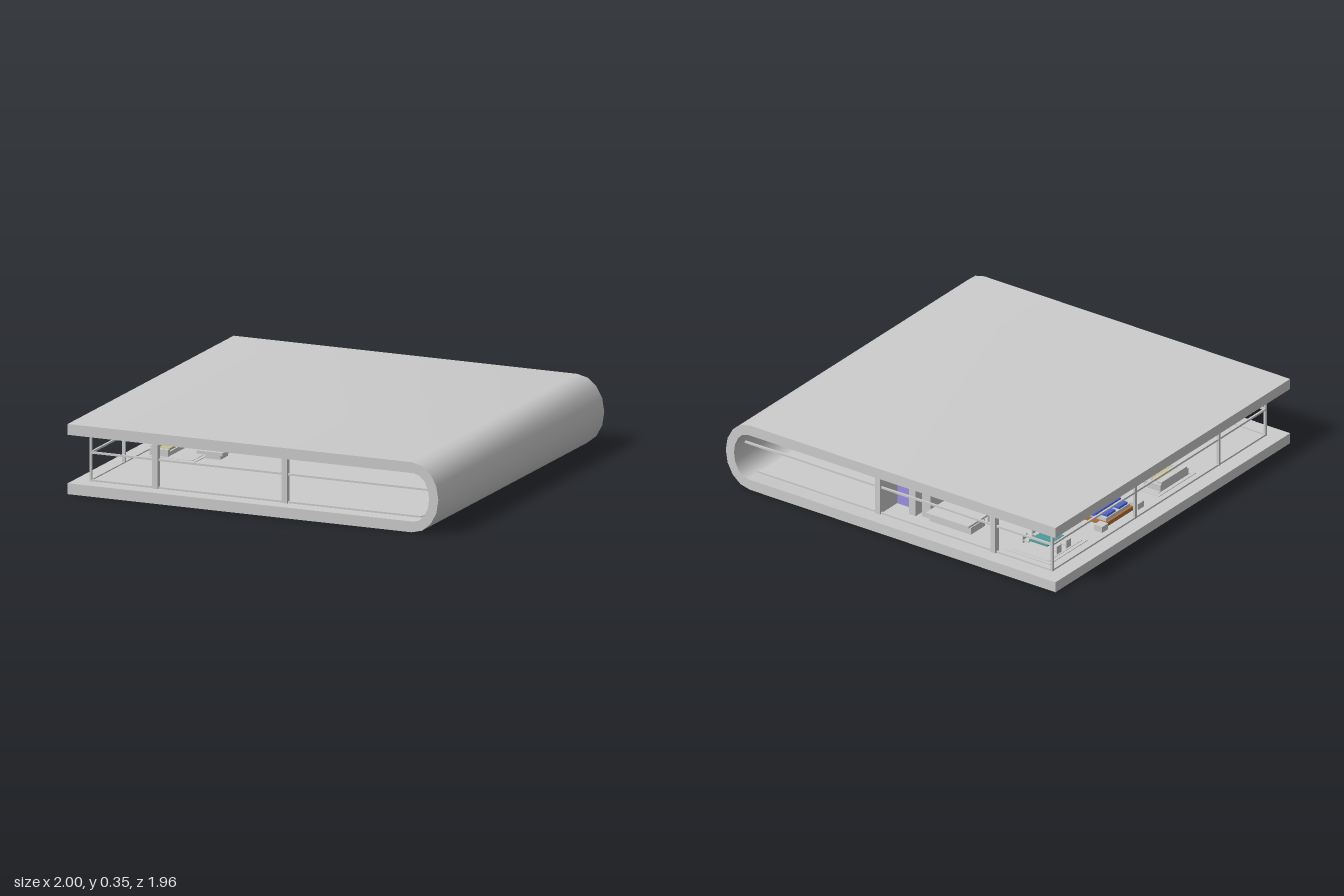
import * as THREE from 'three';
import { toCreasedNormals } from 'three/addons/utils/BufferGeometryUtils.js';

const grey = new THREE.MeshStandardMaterial({ color: 0xcccccc });
const paint = (color) => new THREE.MeshStandardMaterial({ color });
const white = paint(0xf4f4f4), purple = paint(0x9a90e0), teal = paint(0x4f9a98);
const blue = paint(0x4a62d8), orange = paint(0xb5713a), yellow = paint(0xc8c08a);

const FLOOR = 0.055, CEIL = 0.3, EDGE = 0.98;
const GX = -0.915, GZ = 0.89; // glazing line

export function createModel() {
  const model = new THREE.Group();

  // Box given by its limits on each axis
  function box(name, x0, x1, y0, y1, z0, z1, material = grey, parent = model) {
    const mesh = new THREE.Mesh(new THREE.BoxGeometry(x1 - x0, y1 - y0, z1 - z0), material);
    mesh.position.set((x0 + x1) / 2, (y0 + y1) / 2, (z0 + z1) / 2);
    mesh.name = name;
    parent.add(mesh);
    return mesh;
  }

  // Profile in x/y pulled along z
  function prism(name, points, z0, z1) {
    const shape = new THREE.Shape(points.map(([x, y]) => new THREE.Vector2(x, y)));
    const geo = new THREE.ExtrudeGeometry(shape, { depth: z1 - z0, bevelEnabled: false });
    geo.translate(0, 0, z0);
    const mesh = new THREE.Mesh(toCreasedNormals(geo, 0.7), grey);
    mesh.name = name;
    model.add(mesh);
  }

  // Half ellipse closing the right end, from bottom to top
  const bend = (cx, rx, ry) => Array.from({ length: 9 }, (_, i) => {
    const a = -Math.PI / 2 + (Math.PI * i) / 8;
    return [cx + rx * Math.cos(a), 0.1775 + ry * Math.sin(a)];
  });

  // Folded slab: floor, rounded end and roof in one band
  const inner = bend(0.865, 0.085, 0.1225).reverse();
  prism('foldedShell', [[-1, 0], ...bend(0.855, 0.145, 0.1775), [-1, 0.355], [-1, CEIL], ...inner, [-1, FLOOR]], -EDGE, EDGE);
  box('floorFinish', GX, 0.865, FLOOR - 0.002, FLOOR + 0.003, -GZ, GZ, white);

  // Glazing frame along both long sides
  for (const s of [-1, 1]) {
    const side = new THREE.Group();
    side.name = s > 0 ? 'frontFrame' : 'backFrame';
    model.add(side);
    const z = s * GZ;
    for (const [y, end] of [[FLOOR + 0.004, 0.87], [0.2, 0.95], [CEIL - 0.004, 0.87]])
      box('rail', GX, end, y - 0.005, y + 0.005, z - 0.005, z + 0.005, grey, side);
    box('cornerPost', GX - 0.006, GX + 0.006, FLOOR, CEIL, z - 0.006, z + 0.006, grey, side);
    for (const x of [-0.565, 0.135])
      box('column', x - 0.015, x + 0.015, FLOOR, CEIL, z - 0.015, z + 0.015, grey, side);
  }

  // Glazing frame across the open end
  for (const y of [FLOOR + 0.004, 0.2, CEIL - 0.004])
    box('endRail', GX - 0.005, GX + 0.005, y - 0.005, y + 0.005, -GZ, GZ);
  for (const z of [-0.2, 0.5])
    box('endPost', GX - 0.007, GX + 0.007, FLOOR, CEIL, z - 0.007, z + 0.007);

  // Partition with cabinet, chimney and kitchen hood
  box('partitionWall', 0.12, 0.15, FLOOR, CEIL, -0.875, -0.4);
  box('cabinet', 0.025, 0.118, FLOOR, 0.23, -0.76, -0.56, purple);
  box('tallUnit', -0.035, 0.005, FLOOR, 0.245, -0.82, -0.56);
  box('unitBridge', -0.06, 0.005, 0.225, 0.248, -0.82, -0.56);
  box('chimney', -0.11, -0.06, FLOOR, CEIL, -0.8, -0.6);
  prism('hood', [[-0.415, 0.23], [-0.345, 0.23], [-0.345, 0.25], [-0.11, 0.25], [-0.11, 0.292], [-0.36, 0.292], [-0.415, 0.262]], -0.8, -0.6);

  // Kitchen island and counter
  box('islandBase', -0.37, -0.12, FLOOR, 0.095, -0.82, -0.7);
  box('islandTop', -0.37, -0.11, 0.1, 0.11, -0.84, -0.68);
  box('sinkUnit', -0.31, -0.265, 0.09, 0.122, -0.66, -0.58);
  box('screen', -0.325, -0.285, 0.122, 0.165, -0.64, -0.62, teal);
  for (const x of [-0.36, -0.12]) for (const z of [-0.66, -0.56])
    box('counterLeg', x - 0.005, x + 0.005, FLOOR, 0.095, z - 0.005, z + 0.005);
  box('counterTop', -0.37, -0.11, 0.095, 0.105, -0.67, -0.55);
  box('tap', -0.243, -0.237, 0.1, 0.14, -0.63, -0.624);

  // Rug with a contrasting border
  function rug(x0, x1, z0, z1) {
    box('rugBorder', x0, x1, FLOOR, 0.061, z0, z1);
    box('rug', x0 + 0.02, x1 - 0.02, 0.058, 0.063, z0 + 0.02, z1 - 0.02, white);
  }

  // Dining corner: glass table and four chairs
  rug(-0.87, -0.6, -0.85, -0.53);
  box('tableTop', -0.79, -0.68, 0.095, 0.101, -0.76, -0.62, teal);
  box('tableLeg', -0.742, -0.728, FLOOR, 0.095, -0.697, -0.683);
  for (const sx of [-1, 1]) for (const dz of [-0.04, 0.04]) {
    const x = -0.735 + sx * 0.085, z = -0.69 + dz;
    box('chairSeat', x - 0.018, x + 0.018, 0.075, 0.08, z - 0.018, z + 0.018);
    box('chairBack', x + sx * 0.018 - 0.003, x + sx * 0.018 + 0.003, FLOOR, 0.105, z - 0.018, z + 0.018);
  }

  // Bed with bedside tables
  box('bedFrame', -0.86, -0.62, FLOOR, 0.08, -0.36, -0.14, orange);
  box('mattress', -0.85, -0.63, 0.08, 0.098, -0.35, -0.15);
  box('blanket', -0.79, -0.64, 0.09, 0.108, -0.355, -0.145, blue);
  for (const z of [-0.3, -0.2]) box('pillow', -0.845, -0.8, 0.098, 0.11, z - 0.035, z + 0.035, blue);
  for (const z of [-0.4, -0.1]) box('bedsideTable', -0.88, -0.83, FLOOR, 0.09, z - 0.025, z + 0.025);

  // Seating corner: sofa and low table
  rug(-0.88, -0.6, 0.05, 0.36);
  box('sofaSeat', -0.84, -0.76, FLOOR, 0.085, 0.1, 0.31);
  box('sofaBack', -0.86, -0.83, FLOOR, 0.11, 0.1, 0.31);
  for (const z of [0.1, 0.31]) box('sofaArm', -0.86, -0.76, FLOOR, 0.098, z - 0.012, z + 0.012);
  box('cushion', -0.83, -0.77, 0.085, 0.095, 0.13, 0.28, yellow);
  box('lowTableTop', -0.62, -0.48, 0.088, 0.104, 0.12, 0.29);
  box('lowTableBase', -0.59, -0.51, FLOOR, 0.088, 0.16, 0.25);

  return model;
}
